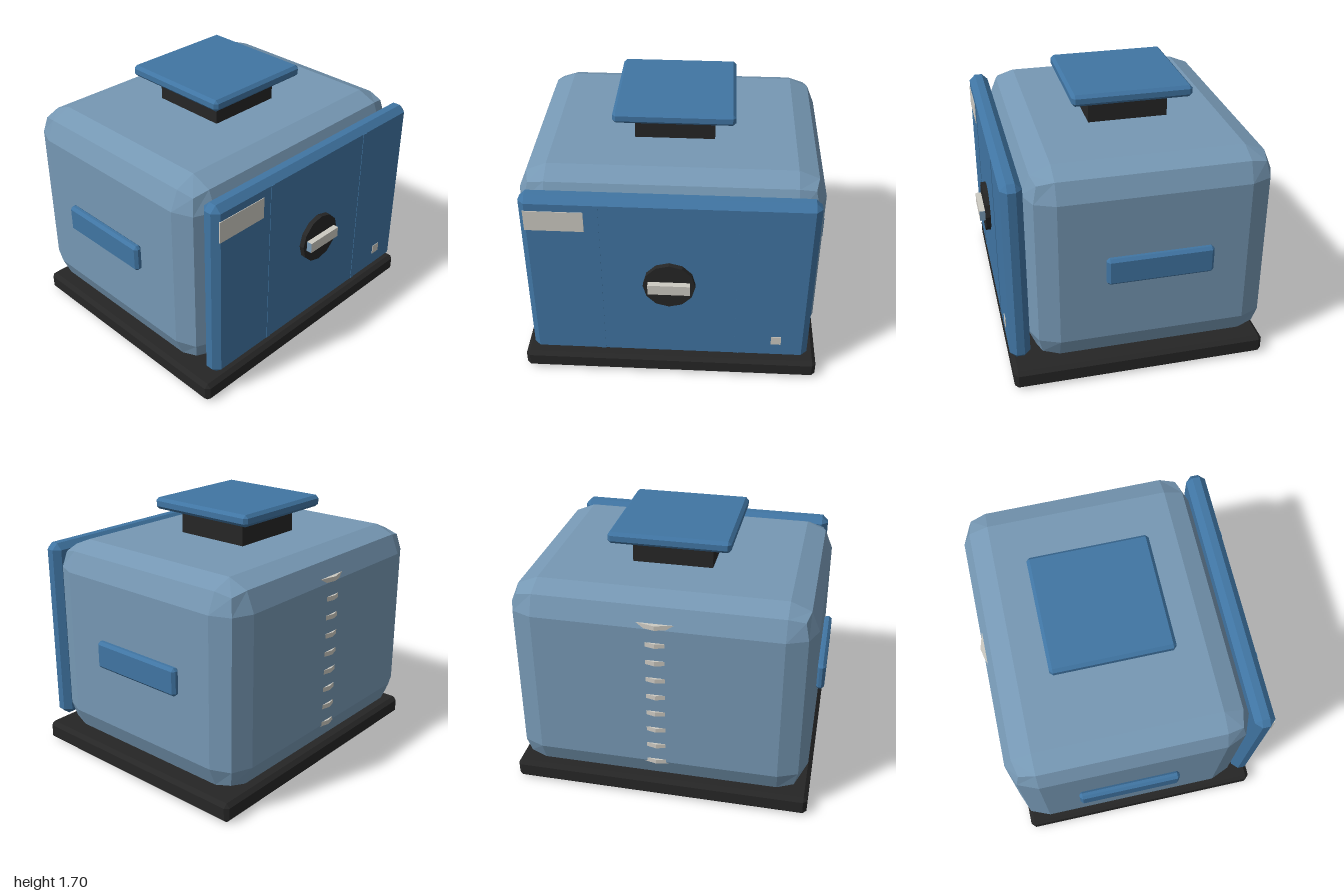
import * as THREE from 'three';
import { RoundedBoxGeometry } from 'three/addons/geometries/RoundedBoxGeometry.js';
import { ConvexGeometry } from 'three/addons/geometries/ConvexGeometry.js';

const paint = (name, color) => {
  const m = new THREE.MeshStandardMaterial({ color });
  m.name = name;
  return m;
};

// Box with every edge cut at 45 degrees by c
function chamferBox(w, h, d, c) {
  const pts = [];
  for (const x of [-1, 1]) for (const y of [-1, 1]) for (const z of [-1, 1]) {
    const [a, b, e] = [w / 2, h / 2, d / 2];
    pts.push(
      new THREE.Vector3(x * a, y * (b - c), z * (e - c)),
      new THREE.Vector3(x * (a - c), y * b, z * (e - c)),
      new THREE.Vector3(x * (a - c), y * (b - c), z * e)
    );
  }
  return new ConvexGeometry(pts);
}

export function createModel() {
  const group = new THREE.Group();
  group.name = 'safe';
  const paleBlue = paint('paleBlue', 0x7698b4);
  const blue = paint('blue', 0x4075a3);
  const black = paint('black', 0x262626);
  const lightGrey = paint('lightGrey', 0xcdcac2);

  const add = (name, geometry, material, x, y, z) => {
    const mesh = new THREE.Mesh(geometry, material);
    mesh.name = name;
    mesh.position.set(x, y, z);
    group.add(mesh);
    return mesh;
  };
  const box = (w, h, d) => new THREE.BoxGeometry(w, h, d);

  // Base and faceted round-edged body
  add('base', chamferBox(1.94, 0.13, 1.64, 0.025), black, 0, 0.065, -0.02);
  const bodyShape = new RoundedBoxGeometry(1.9, 1.33, 1.545, 1, 0.18);
  bodyShape.computeVertexNormals();
  add('body', bodyShape, paleBlue, 0, 0.795, -0.0925);

  // Door with two thin seam strips
  add('door', chamferBox(1.8, 1.23, 0.13, 0.04), blue, 0, 0.795, 0.745);
  for (const s of [-1, 1])
    add('doorStrip', box(0.03, 1.15, 0.006), blue, s * 0.435, 0.795, 0.81);

  // Labels on the door
  add('largePlate', box(0.36, 0.14, 0.008), lightGrey, -0.69, 1.25, 0.81);
  add('smallPlate', box(0.065, 0.065, 0.008), lightGrey, 0.69, 0.342, 0.81);

  // Dial and its grip, with blue ends
  const dialShape = new THREE.CylinderGeometry(0.163, 0.163, 0.04, 12).toNonIndexed();
  dialShape.computeVertexNormals();
  add('dial', dialShape, black, 0, 0.797, 0.823).rotation.x = Math.PI / 2;
  add('dialGrip', box(0.262, 0.07, 0.04),
    [paleBlue, paleBlue, lightGrey, lightGrey, lightGrey, lightGrey], 0, 0.797, 0.86);

  // Side handles
  for (const s of [-1, 1])
    add('sideHandle', chamferBox(0.055, 0.18, 0.67, 0.018), blue, s * 0.9725, 0.81, -0.12);

  // Neck and top plate
  add('neck', box(0.51, 0.17, 0.515), black, 0, 1.54, -0.0925);
  add('topPlate', chamferBox(0.765, 0.075, 0.77, 0.02), blue, 0, 1.66, -0.095);

  // Column of pointed vent fins on the back
  const finShape = new THREE.CylinderGeometry(1, 1, 0.03, 4).toNonIndexed();
  finShape.scale(0.12, 1, 0.03);
  finShape.computeVertexNormals();
  for (let i = 0; i < 9; i++)
    add('ventFin', finShape, lightGrey, 0, 0.315 + i * 0.123, -0.85);

  return group;
}
